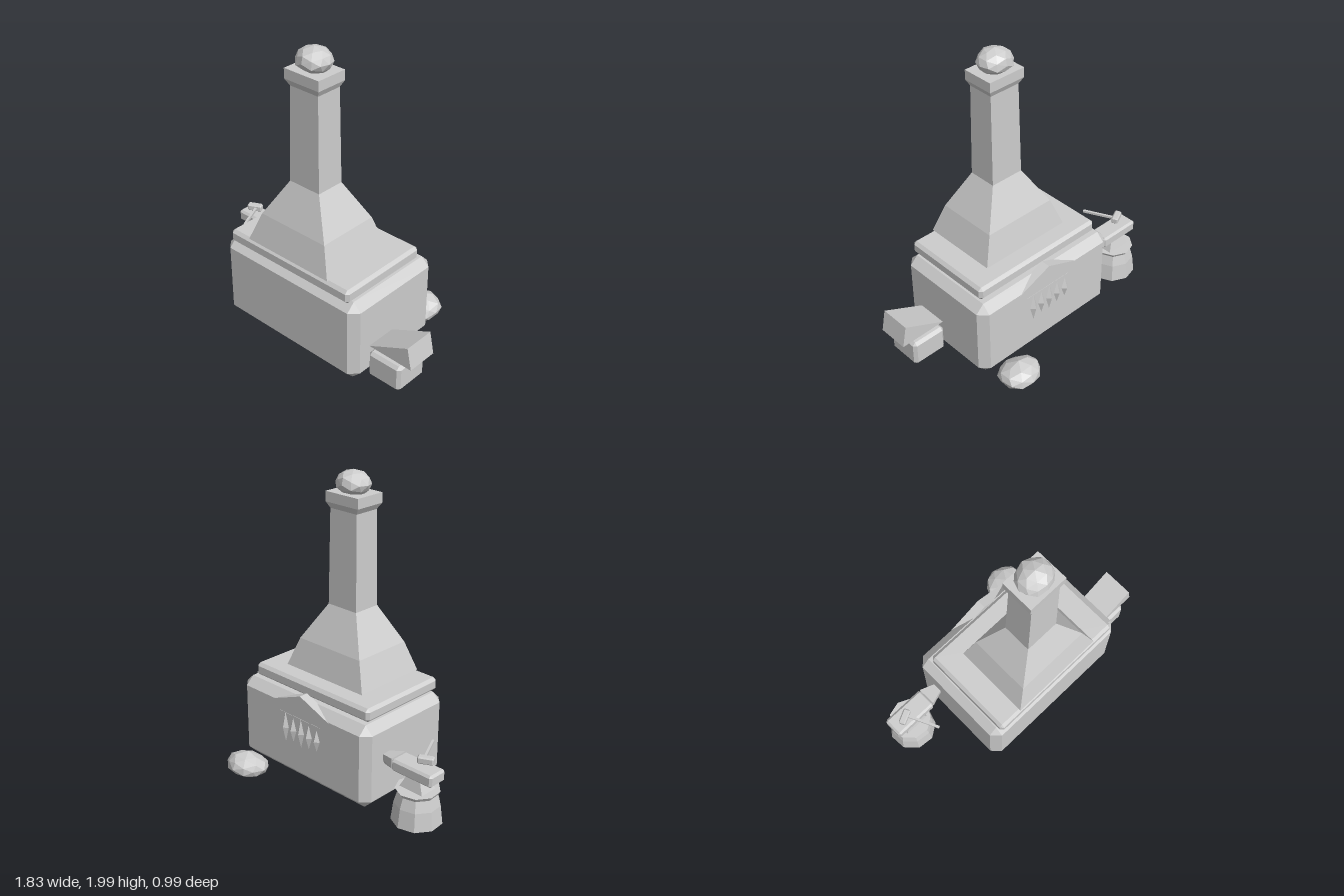
import * as THREE from 'three';
import { ConvexGeometry } from 'three/addons/geometries/ConvexGeometry.js';

export function createModel() {
  const model = new THREE.Group();
  const stone = new THREE.MeshStandardMaterial({ color: 0xcccccc });
  stone.name = 'stoneGrey';

  function add(name, geometry, parent = model) {
    const mesh = new THREE.Mesh(geometry, stone);
    mesh.name = name;
    parent.add(mesh);
    return mesh;
  }

  // Faceted copy of a geometry
  function faceted(geometry) {
    const g = geometry.index ? geometry.toNonIndexed() : geometry;
    g.computeVertexNormals();
    return g;
  }

  const hull = (points) => new ConvexGeometry(points.map((p) => new THREE.Vector3(...p)));

  // Box given by its limits, with every edge chamfered by c
  function chamferBox([x0, x1], [y0, y1], [z0, z1], c) {
    const points = [];
    for (const [x, sx] of [[x0, 1], [x1, -1]])
      for (const [y, sy] of [[y0, 1], [y1, -1]])
        for (const [z, sz] of [[z0, 1], [z1, -1]])
          points.push(
            [x, y + sy * c, z + sz * c],
            [x + sx * c, y, z + sz * c],
            [x + sx * c, y + sy * c, z]);
    return hull(points);
  }

  // Rectangular cross-sections [y, x0, x1, z0, z1] joined from bottom to top
  function loft(sections) {
    const rings = sections.map(([y, x0, x1, z0, z1]) =>
      [[x0, y, z1], [x1, y, z1], [x1, y, z0], [x0, y, z0]]);
    const pos = [];
    const quad = (a, b, c, d) => pos.push(...a, ...b, ...c, ...a, ...c, ...d);
    for (let i = 0; i < rings.length - 1; i++)
      for (let k = 0; k < 4; k++) {
        const n = (k + 1) % 4;
        quad(rings[i][k], rings[i][n], rings[i + 1][n], rings[i + 1][k]);
      }
    quad(...rings[rings.length - 1]);
    quad(...[...rings[0]].reverse());
    const g = new THREE.BufferGeometry();
    g.setAttribute('position', new THREE.Float32BufferAttribute(pos, 3));
    return faceted(g);
  }

  // Irregular boulder: unit icosphere dented by a rule, then scaled
  function boulder(radii, center, seed, shape = () => {}) {
    const g = new THREE.IcosahedronGeometry(1, 1);
    const p = g.attributes.position;
    const v = new THREE.Vector3();
    for (let i = 0; i < p.count; i++) {
      v.fromBufferAttribute(p, i);
      const dent = Math.sin(v.x * 5.1 + seed) * Math.sin(v.y * 4.3 + seed * 2) * Math.cos(v.z * 4.7);
      v.multiplyScalar(0.97 + 0.09 * dent);
      shape(v);
      p.setXYZ(i, v.x * radii[0] + center[0], v.y * radii[1] + center[1], v.z * radii[2] + center[2]);
    }
    return faceted(g);
  }

  // Hearth block and slab
  add('hearthBody', chamferBox([-0.51, 0.595], [0.065, 0.625], [-0.245, 0.492], 0.055));
  add('hearthSlab', chamferBox([-0.45, 0.535], [0.62, 0.71], [-0.165, 0.485], 0.02));

  // Hood, shaft and flared rim
  add('chimney', loft([
    [0.71, -0.285, 0.37, -0.04, 0.48],
    [0.9, -0.215, 0.3, 0.01, 0.427],
    [1.14, -0.075, 0.16, 0.127, 0.32],
    [1.76, -0.065, 0.153, 0.135, 0.312],
    [1.8, -0.092, 0.174, 0.115, 0.33],
    [1.865, -0.092, 0.174, 0.115, 0.33]]));
  add('smokePuff', boulder([0.118, 0.08, 0.108], [0.04, 1.922, 0.22], 1.3));

  // Gable, panel and spikes on the back wall
  const gable = [];
  for (const z of [-0.247, -0.185])
    gable.push([-0.205, 0.565, z], [0.29, 0.565, z], [0.042, 0.662, z]);
  add('backGable', hull(gable));
  add('backPanel', new THREE.BoxGeometry(0.36, 0.18, 0.004)).position.set(0.05, 0.415, -0.245);
  [0.21, 0.17, 0.2, 0.17, 0.15].forEach((h, i) => {
    const spike = add('backSpike', new THREE.OctahedronGeometry(1, 0));
    spike.scale.set(0.028, h / 2, 0.025);
    spike.position.set(0.175 - i * 0.069, 0.405, -0.247);
  });

  // Bellows and its stand
  const wedge = [];
  for (const z of [0.145, 0.355])
    wedge.push([0.595, 0.283, z], [0.882, 0.422, z], [0.912, 0.277, z]);
  add('bellows', hull(wedge));
  add('bellowsStand', chamferBox([0.597, 0.84], [0.07, 0.25], [0.128, 0.37], 0.02));

  // Stump
  const profile = [[0, 0.065], [0.158, 0.065], [0.143, 0.185], [0.122, 0.255], [0.138, 0.28], [0, 0.28]]
    .map(([r, y]) => new THREE.Vector2(r, y));
  const stump = add('stump', faceted(new THREE.LatheGeometry(profile, 9)));
  stump.position.set(-0.765, 0, -0.065);
  stump.rotation.y = 0.25;

  // Anvil
  const anvil = new THREE.Group();
  anvil.name = 'anvil';
  model.add(anvil);
  add('anvilFoot', loft([
    [0.28, -0.845, -0.672, -0.125, 0.0],
    [0.36, -0.805, -0.71, -0.1, -0.022]]), anvil);
  add('anvilBlock', chamferBox([-0.91, -0.605], [0.355, 0.435], [-0.13, 0.007], 0.014), anvil);
  add('anvilHorn', hull([
    [-0.607, 0.435, -0.125], [-0.607, 0.435, 0], [-0.607, 0.37, -0.125], [-0.607, 0.37, 0],
    [-0.607, 0.357, -0.08], [-0.607, 0.357, -0.045],
    [-0.48, 0.409, -0.083], [-0.48, 0.409, -0.042], [-0.48, 0.38, -0.083], [-0.48, 0.38, -0.042],
    [-0.48, 0.337, -0.062]]), anvil);

  // Hammer lying over the anvil
  const hammer = new THREE.Group();
  hammer.name = 'hammer';
  hammer.position.set(-0.805, 0.477, -0.05);
  hammer.rotation.y = 0.453;
  model.add(hammer);
  add('hammerHead', chamferBox([-0.05, 0.05], [-0.023, 0.023], [-0.023, 0.023], 0.008), hammer);
  const handle = add('hammerHandle', new THREE.BoxGeometry(0.016, 0.016, 0.23), hammer);
  handle.position.set(0.012, 0, 0.12);

  // Rock behind the hearth, narrower and lower towards the wall
  add('rock', boulder([0.152, 0.084, 0.142], [0.413, 0.095, -0.362], 2.1, (v) => {
    const t = Math.max(v.z, 0);
    v.x *= 1 - 0.15 * t;
    v.y = v.y * (1 - 0.3 * t) - 0.4 * t;
  }));

  return model;
}
